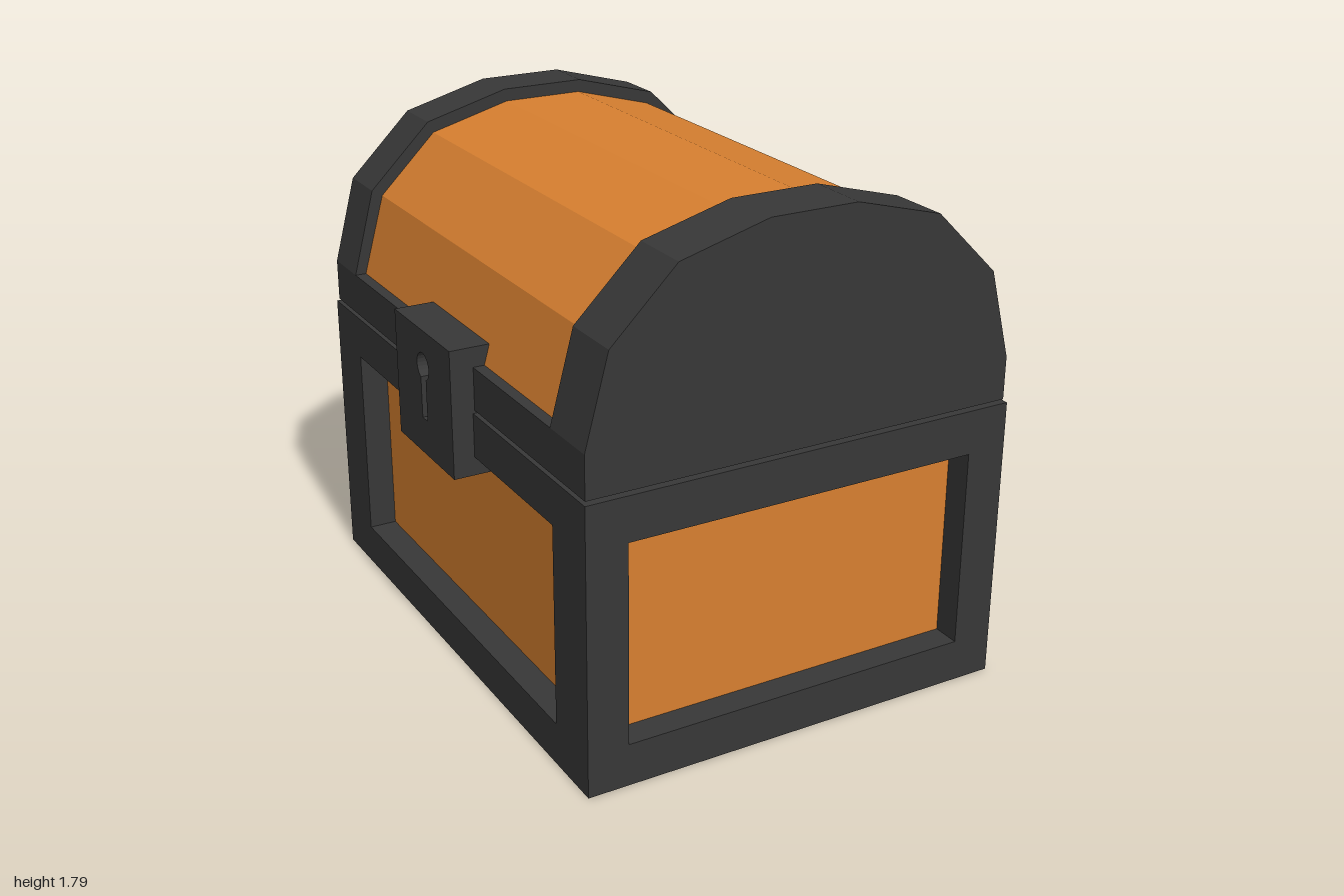
import * as THREE from 'three';

const iron = new THREE.MeshStandardMaterial({ color: 0x383838 });
iron.name = 'dark iron';
const wood = new THREE.MeshStandardMaterial({ color: 0xd88030 });
wood.name = 'orange wood';

// Box given by its two extremes on each axis
function block(name, mat, [x0, x1], [y0, y1], [z0, z1]) {
  const mesh = new THREE.Mesh(new THREE.BoxGeometry(x1 - x0, y1 - y0, z1 - z0), mat);
  mesh.position.set((x0 + x1) / 2, (y0 + y1) / 2, (z0 + z1) / 2);
  mesh.name = name;
  return mesh;
}

// Symmetric arch profile extruded along z
function arch(name, mat, half, cx, z0, z1) {
  const right = half.map(([x, y]) => new THREE.Vector2(cx + x, y));
  const left = half.map(([x, y]) => new THREE.Vector2(cx - x, y)).reverse();
  const geo = new THREE.ExtrudeGeometry(new THREE.Shape([...right, ...left]), { depth: z1 - z0, bevelEnabled: false });
  geo.translate(0, 0, z0);
  const mesh = new THREE.Mesh(geo, mat);
  mesh.name = name;
  return mesh;
}

function createBase() {
  const base = new THREE.Group();
  base.name = 'base';
  const xs = [[-0.745, -0.6], [0.675, 0.82]];
  const ys = [[0, 0.15], [0.855, 1.01]];
  const zs = [[-1, -0.785], [0.785, 1]];

  // Corner posts
  for (const x of xs) for (const z of zs) base.add(block('cornerPost', iron, x, [0, 1.01], z));

  // Rails between the posts, top and bottom
  for (const y of ys) {
    for (const z of zs) base.add(block('endRail', iron, [-0.6, 0.675], y, z));
    for (const x of xs) base.add(block('sideRail', iron, x, y, [-0.785, 0.785]));
  }

  // Wooden body, seen as recessed panels
  base.add(block('woodenBody', wood, [-0.645, 0.72], [0.1, 0.91], [-0.9, 0.9]));
  return base;
}

function createLid() {
  const lid = new THREE.Group();
  lid.name = 'lid';
  const cx = 0.036;
  const outer = [[0.775, 1.02], [0.775, 1.17], [0.693, 1.478], [0.465, 1.703], [0.155, 1.787]];
  const inner = [[0.735, 1.1], [0.735, 1.17], [0.655, 1.455], [0.445, 1.662], [0.148, 1.742]];
  lid.add(arch('frontLidBand', iron, outer, cx, 0.77, 0.99));
  lid.add(arch('backLidBand', iron, outer, cx, -0.99, -0.8));
  lid.add(arch('woodenVault', wood, inner, cx, -0.8, 0.77));
  lid.add(block('lidRim', iron, [cx - 0.775, cx + 0.775], [1.02, 1.17], [-0.8, 0.77]));
  return lid;
}

function createLock() {
  const lock = new THREE.Group();
  lock.name = 'lock';
  lock.add(block('lockBody', iron, [-0.6 - 0.16, -0.6], [0.79, 1.24], [-0.225, 0.225]));

  // Face plate with a keyhole cut through it
  const plate = new THREE.Shape([[-0.225, 0.79], [0.225, 0.79], [0.225, 1.24], [-0.225, 1.24]]
    .map(([x, y]) => new THREE.Vector2(x, y)));
  const keyhole = new THREE.Path();
  const a = Math.acos(0.02 / 0.048);
  keyhole.moveTo(-0.02, 0.92);
  keyhole.lineTo(0.02, 0.92);
  keyhole.absarc(0, 1.11, 0.048, -a, Math.PI + a, false);
  keyhole.closePath();
  plate.holes.push(keyhole);
  const geo = new THREE.ExtrudeGeometry(plate, { depth: 0.06, bevelEnabled: false, curveSegments: 10 });
  const face = new THREE.Mesh(geo, iron);
  face.name = 'lockPlate';
  face.rotation.y = -Math.PI / 2;
  face.position.x = -0.76;
  lock.add(face);
  return lock;
}

export function createModel() {
  const chest = new THREE.Group();
  chest.name = 'chest';
  chest.add(createBase(), createLid(), createLock());
  return chest;
}
